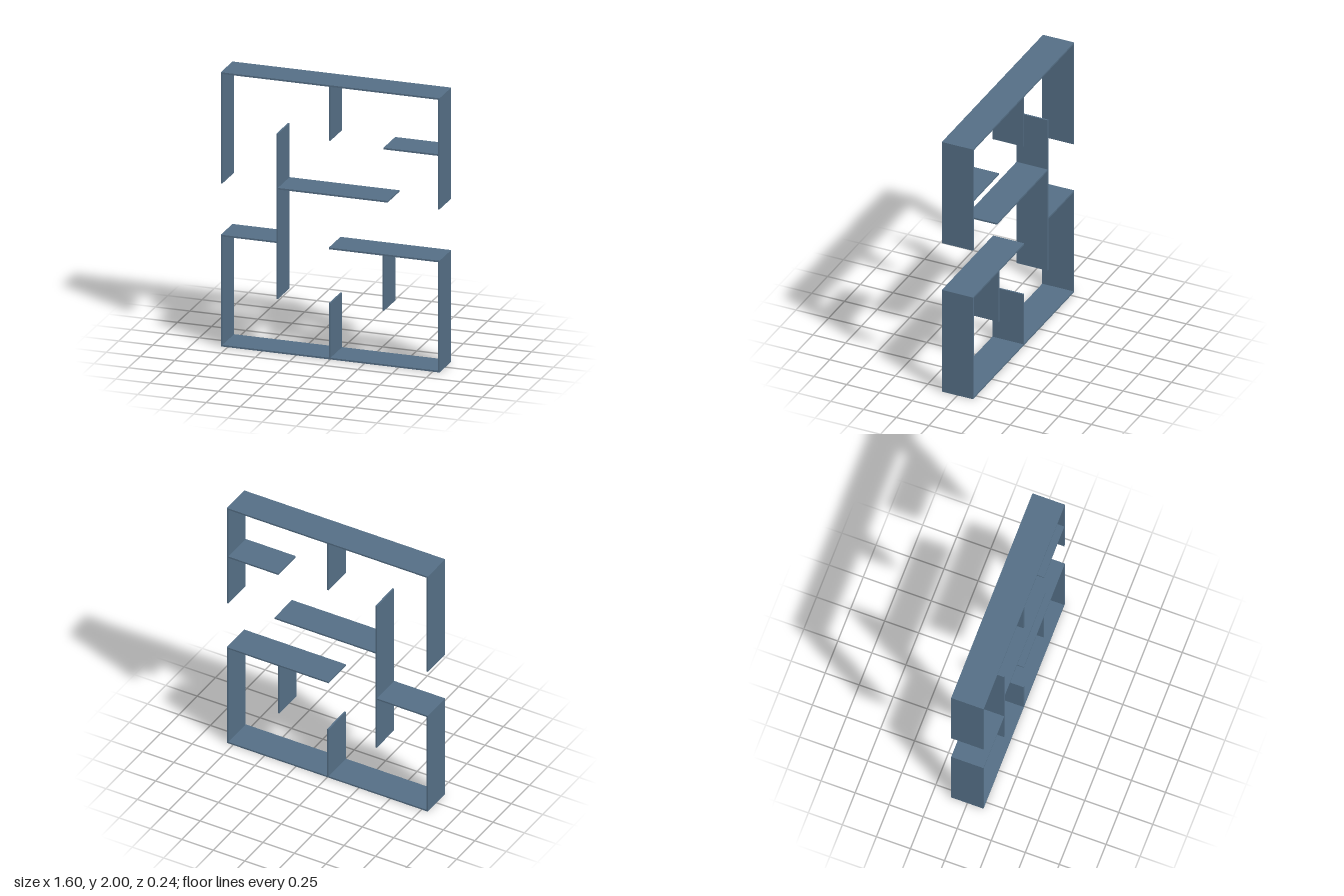
import * as THREE from 'three';

const T = 0.012; // board thickness
const DEPTH = 0.238; // depth of every board

export function createModel() {
  const group = new THREE.Group();
  const material = new THREE.MeshStandardMaterial({ color: 0x546e85 });

  // One board, given by its extents in the front plane
  function board(name, x0, x1, y0, y1) {
    const mesh = new THREE.Mesh(new THREE.BoxGeometry(x1 - x0, y1 - y0, DEPTH), material);
    mesh.position.set((x0 + x1) / 2, (y0 + y1) / 2, 0);
    mesh.name = name;
    group.add(mesh);
  }
  const shelf = (name, y, x0, x1) => board(name, x0, x1, y - T / 2, y + T / 2);
  const upright = (name, x, y0, y1) => board(name, x - T / 2, x + T / 2, y0, y1);

  // Outer frame, open at mid height on both sides
  shelf('topBoard', 2 - T / 2, -0.8, 0.8);
  shelf('bottomBoard', T / 2, -0.8, 0.8);
  for (const [side, s] of [['left', 1], ['right', -1]]) {
    upright(side + 'UpperSide', s * (0.8 - T / 2), 1.19, 2 - T);
    upright(side + 'LowerSide', s * (0.8 - T / 2), T, 0.803);
  }

  // Inner shelves
  shelf('leftUpperShelf', 1.585, 0.39, 0.8 - T);
  shelf('middleShelf', 1.2, -0.382, 0.42);
  shelf('leftLowerShelf', 0.809, -0.01, 0.8);
  shelf('rightLowerShelf', 0.809, -0.8, -0.394);

  // Inner uprights
  upright('longDivider', -0.388, 0.395, 1.6);
  upright('topDivider', -0.004, 1.595, 2 - T);
  upright('bottomDivider', -0.004, T, 0.41);
  upright('hangingDivider', 0.388, 0.402, 0.803);

  return group;
}
